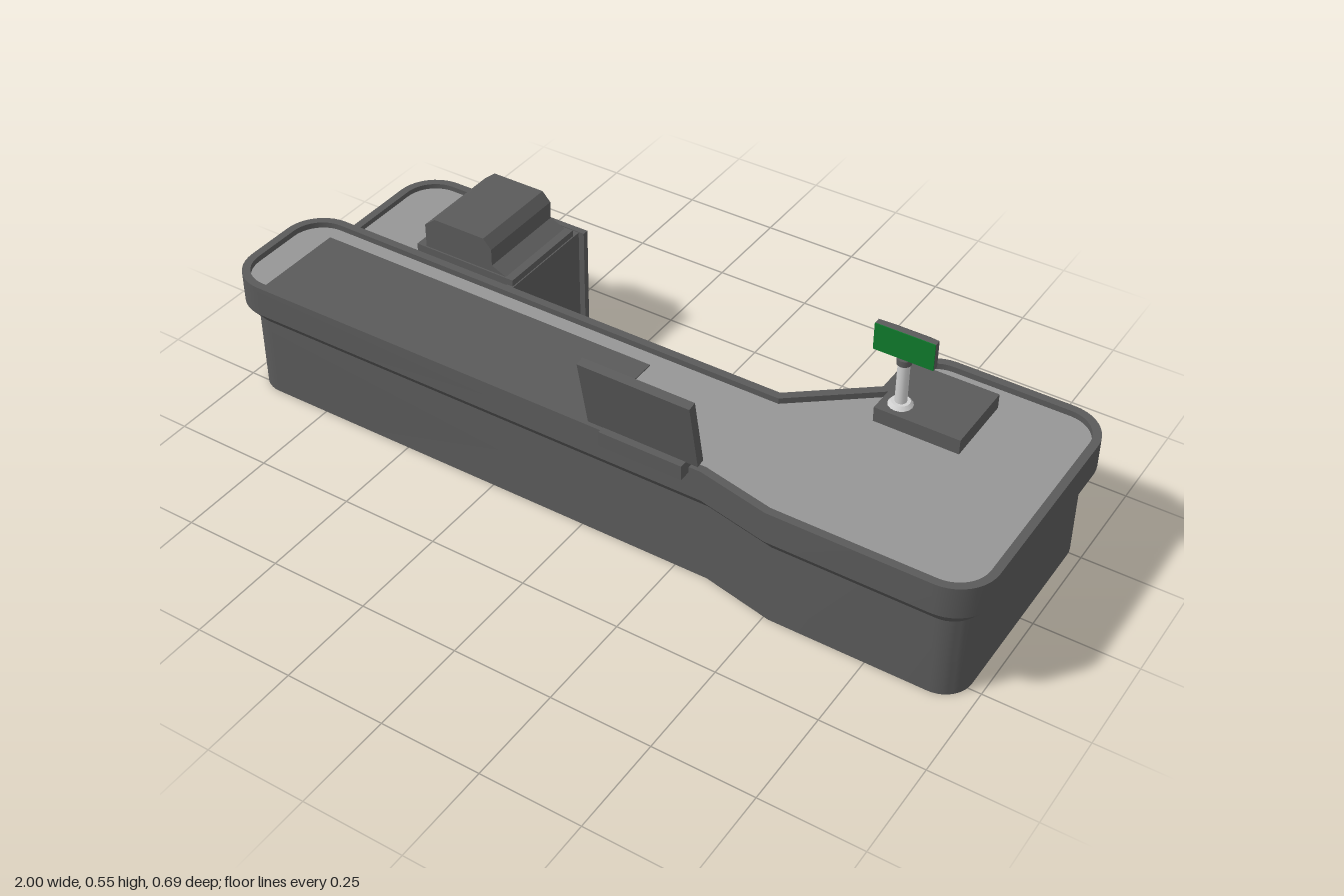
import * as THREE from 'three';
import { toCreasedNormals } from 'three/addons/utils/BufferGeometryUtils.js';

const material = (name, color) => new THREE.MeshStandardMaterial({ name, color });

// Corners are [x, z, radius], counterclockwise from above; inset moves the outline inwards.
function outline(corners, inset) {
  const n = corners.length, points = [];
  const normal = (a, b) => new THREE.Vector2(b[1] - a[1], a[0] - b[0]).normalize();
  corners.forEach((c, i) => {
    const n1 = normal(corners[(i + n - 1) % n], c);
    const n2 = normal(c, corners[(i + 1) % n]);
    const miter = n1.clone().add(n2).divideScalar(1 + n1.dot(n2));
    const p = new THREE.Vector2(c[0], c[1]), r = c[2];
    if (!r) { points.push(p.addScaledVector(miter, inset)); return; }
    const centre = p.addScaledVector(miter, r);
    const turn = Math.atan2(n1.x * n2.y - n1.y * n2.x, n1.dot(n2));
    for (let k = 0; k <= 10; k++) {
      const dir = n1.clone().rotateAround(new THREE.Vector2(), turn * k / 10);
      points.push(centre.clone().addScaledVector(dir, inset - r));
    }
  });
  return points;
}

// Wall surface through a list of [inset, y] levels.
function walls(corners, levels) {
  const rings = levels.map(([inset, y]) =>
    outline(corners, inset).map(p => [p.x, y, p.y]));
  const pos = [];
  for (let l = 0; l + 1 < rings.length; l++) {
    const lo = rings[l], hi = rings[l + 1];
    for (let i = 0; i < lo.length; i++) {
      const j = (i + 1) % lo.length;
      pos.push(...lo[i], ...lo[j], ...hi[j], ...lo[i], ...hi[j], ...hi[i]);
    }
  }
  const g = new THREE.BufferGeometry();
  g.setAttribute('position', new THREE.Float32BufferAttribute(pos, 3));
  return toCreasedNormals(g, 0.45);
}

// Flat cap facing up (1) or down (-1).
function cap(corners, inset, y, facing) {
  const pts = outline(corners, inset).map(p => new THREE.Vector2(p.x, -facing * p.y));
  return new THREE.ShapeGeometry(new THREE.Shape(pts))
    .rotateX(-facing * Math.PI / 2).translate(0, y, 0);
}

export function createModel() {
  const dark = material('dark grey', 0x5a5a5a);
  const worktop = material('worktop grey', 0x969696);
  const pale = material('pale grey', 0xd0d0d0);
  const green = material('display green', 0x0f7a2c);
  const model = new THREE.Group();
  model.name = 'checkoutCounter';

  const add = (name, geometry, mat, parent = model) => {
    const m = new THREE.Mesh(geometry, mat);
    m.name = name;
    parent.add(m);
    return m;
  };
  // Box from its minimum and maximum corners.
  const box = (name, x0, x1, y0, y1, z0, z1, mat) => add(name,
    new THREE.BoxGeometry(x1 - x0, y1 - y0, z1 - z0)
      .translate((x0 + x1) / 2, (y0 + y1) / 2, (z0 + z1) / 2), mat);

  // Main counter: inset base, flared rim and recessed worktop
  const main = [
    [-1, 0.3, 0.1], [0.33, 0.295, 0], [0.51, 0.333, 0], [1, 0.333, 0.1],
    [1, -0.343, 0.1], [0.515, -0.343, 0.1], [0.515, -0.175, 0],
    [0.335, -0.03, 0], [-1, -0.03, 0.1],
  ];
  add('counterBody', walls(main, [[0.03, 0], [0.03, 0.212], [0, 0.25], [0, 0.33],
    [0.02, 0.33], [0.02, 0.315]]), dark);
  add('counterUnderside', cap(main, 0.03, 0, -1), dark);
  add('counterWorktop', cap(main, 0.02, 0.315, 1), worktop);
  box('conveyorBelt', -0.9, 0.03, 0.312, 0.318, 0.03, 0.272, dark);

  // Side counter behind the narrow end
  const side = [[-0.875, -0.012, 0], [-0.395, -0.012, 0], [-0.395, -0.32, 0], [-0.875, -0.32, 0.1]];
  add('sideCounterBody', walls(side, [[0, 0], [0, 0.328], [0.02, 0.328], [0.02, 0.315]]), dark);
  add('sideCounterUnderside', cap(side, 0, 0, -1), dark);
  add('sideCounterWorktop', cap(side, 0.02, 0.315, 1), worktop);
  box('sideCounterBackPanel', -0.62, -0.38, 0, 0.33, -0.321, -0.305, dark);

  // Cash register: slab with a chamfered body
  box('registerBase', -0.68, -0.398, 0.315, 0.345, -0.285, -0.035, dark);
  const profile = new THREE.Shape([
    [-0.655, 0.34], [-0.42, 0.345], [-0.46, 0.362], [-0.46, 0.407], [-0.482, 0.431],
    [-0.625, 0.431], [-0.655, 0.407],
  ].map(p => new THREE.Vector2(...p)));
  add('registerBody', new THREE.ExtrudeGeometry(profile, { depth: 0.242, bevelEnabled: false })
    .translate(0, 0, -0.281), dark);

  // Tilted monitor on the front edge
  box('monitorStand', 0.09, 0.3, 0.315, 0.353, 0.267, 0.326, dark);
  const monitor = add('monitor', new THREE.BoxGeometry(0.28, 0.184, 0.022), dark);
  monitor.position.set(0.19, 0.444, 0.315);
  monitor.rotation.x = 0.205;

  // Customer display on a post
  box('displayPlate', 0.545, 0.755, 0.315, 0.353, -0.262, -0.072, dark);
  const display = new THREE.Group();
  display.name = 'customerDisplay';
  display.position.set(0.588, 0, -0.115);
  model.add(display);
  add('postFoot', new THREE.CylinderGeometry(0.022, 0.03, 0.01, 16).translate(0, 0.357, 0), pale, display);
  add('post', new THREE.CylinderGeometry(0.014, 0.014, 0.106, 16).translate(0, 0.413, 0), pale, display);
  add('postCollar', new THREE.CylinderGeometry(0.017, 0.017, 0.015, 16).translate(0, 0.472, 0), dark, display);
  add('displayCase', new THREE.BoxGeometry(0.146, 0.069, 0.016).translate(0, 0.514, -0.001), dark, display);
  add('displayScreen', new THREE.BoxGeometry(0.146, 0.069, 0.002).translate(0, 0.514, 0.008), green, display);
  // Tapered back: shrink the rear face of a box
  const back = new THREE.BoxGeometry(0.146, 0.069, 0.018);
  const p = back.attributes.position;
  for (let i = 0; i < p.count; i++) {
    if (p.getZ(i) < 0) p.setXY(i, p.getX(i) * 0.6, p.getY(i) * 0.62);
  }
  const taper = back.toNonIndexed();
  taper.computeVertexNormals();
  add('displayBack', taper.translate(0, 0.514, -0.018), dark, display);

  return model;
}
